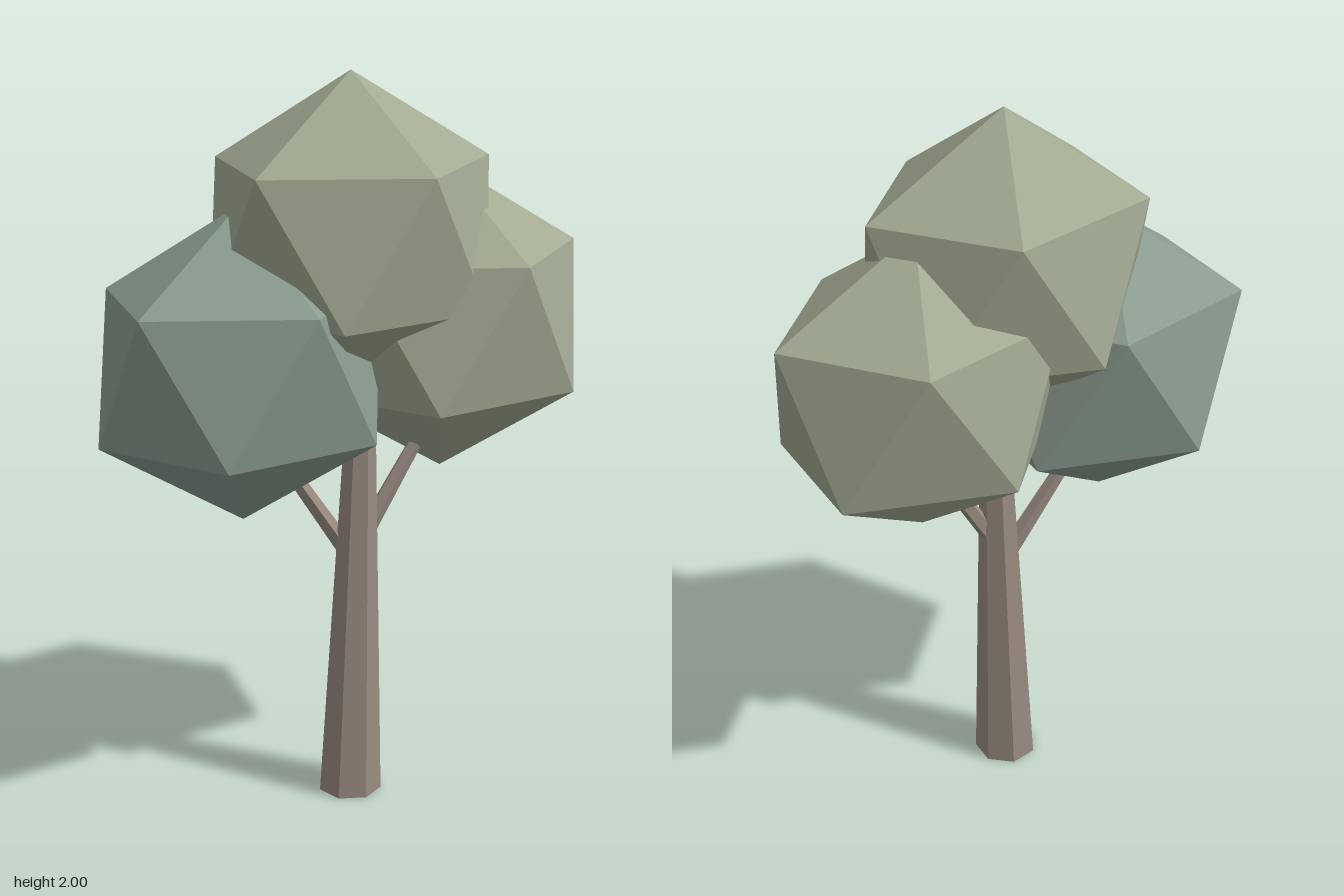
import * as THREE from 'three';

const bark = new THREE.MeshStandardMaterial({ color: 0x9a8c80, flatShading: true });
const olive = new THREE.MeshStandardMaterial({ color: 0xa2aa92, flatShading: true });
const teal = new THREE.MeshStandardMaterial({ color: 0x8a9c90, flatShading: true });

// Icosahedron standing on one vertex, with an upper-ring corner towards +x
function crownGeometry() {
  const golden = (1 + Math.sqrt(5)) / 2;
  return new THREE.IcosahedronGeometry(1, 0)
    .rotateZ(-Math.atan(1 / golden))
    .scale(0.425, 0.42, 0.362);
}

// Tapered trunk whose axis leans slightly towards +x
function trunkGeometry() {
  const height = 1.25;
  const geo = new THREE.CylinderGeometry(0.035, 0.088, height, 7, 1, false, -Math.PI / 2);
  geo.translate(0, height / 2, 0);
  const pos = geo.attributes.position;
  for (let i = 0; i < pos.count; i++) {
    pos.setX(i, pos.getX(i) + 0.007 + 0.026 * pos.getY(i));
  }
  geo.translate(0, 0, 0.025);
  geo.computeVertexNormals();
  return geo;
}

// Thin tapered cylinder between two points
function branch(name, from, to) {
  const a = new THREE.Vector3(...from);
  const b = new THREE.Vector3(...to);
  const dir = b.clone().sub(a);
  const mesh = new THREE.Mesh(new THREE.CylinderGeometry(0.018, 0.026, dir.length(), 5), bark);
  mesh.position.copy(a).add(b).multiplyScalar(0.5);
  mesh.quaternion.setFromUnitVectors(new THREE.Vector3(0, 1, 0), dir.normalize());
  mesh.name = name;
  return mesh;
}

export function createModel() {
  const tree = new THREE.Group();
  tree.name = 'tree';

  const trunk = new THREE.Mesh(trunkGeometry(), bark);
  trunk.name = 'trunk';
  tree.add(trunk);

  tree.add(branch('leftBranch', [0.045, 0.75, 0.025], [0.23, 1.05, 0.01]));
  tree.add(branch('rightBranch', [0, 0.71, 0.01], [-0.2, 1.02, -0.02]));

  // Three overlapping foliage clumps
  const crown = crownGeometry();
  const clumps = [
    ['topFoliage', olive, [0.01, 1.58, 0.02]],
    ['leftFoliage', olive, [0.285, 1.33, -0.03]],
    ['rightFoliage', teal, [-0.29, 1.252, 0.02]],
  ];
  for (const [name, material, position] of clumps) {
    const clump = new THREE.Mesh(crown, material);
    clump.position.set(...position);
    clump.name = name;
    tree.add(clump);
  }
  return tree;
}
